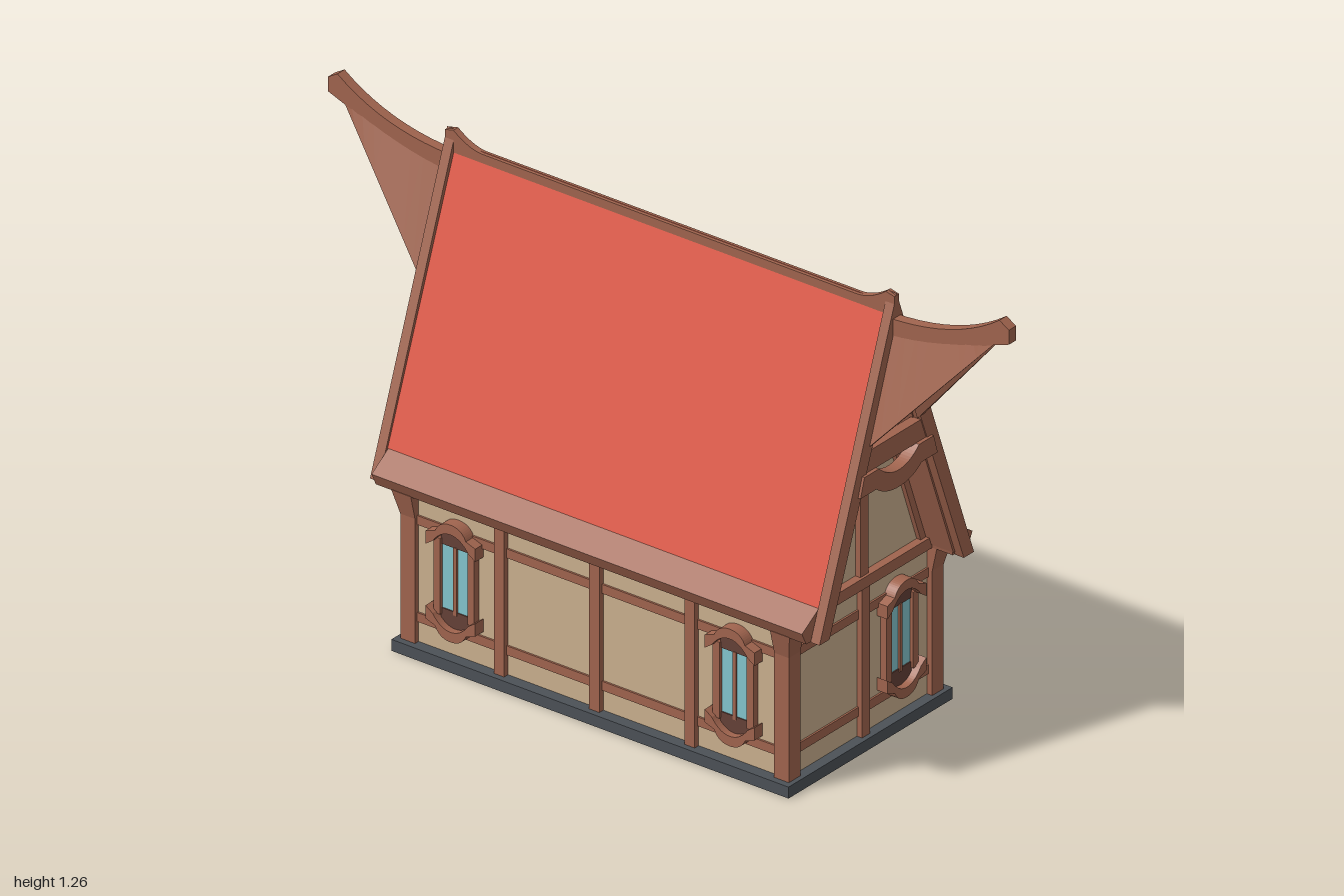
import * as THREE from 'three';

const mat = (name, color) => Object.assign(new THREE.MeshStandardMaterial({ color }), { name });

export function createModel() {
  const wood = mat('wood', 0xa0644e), darkWood = mat('dark wood', 0x654138);
  const plaster = mat('plaster', 0xcbb08e), tiles = mat('roof red', 0xdc5440);
  const glass = mat('window glass', 0x84c6ce), stone = mat('slate', 0x4c5157);
  const pale = mat('pale stone', 0xcccccc);

  const root = new THREE.Group();
  root.name = 'house';
  const house = new THREE.Group();
  house.name = 'body';
  house.position.z = 0.023;
  root.add(house);

  const add = (parent, name, geo, material) => {
    const m = new THREE.Mesh(geo, material);
    m.name = name;
    parent.add(m);
    return m;
  };
  // box given by its min and max on each axis
  const box = (parent, name, x0, x1, y0, y1, z0, z1, material) => {
    const m = add(parent, name, new THREE.BoxGeometry(x1 - x0, y1 - y0, z1 - z0), material);
    m.position.set((x0 + x1) / 2, (y0 + y1) / 2, (z0 + z1) / 2);
  };
  const poly = pts => new THREE.Shape(pts.map(p => new THREE.Vector2(...p)));
  const extrude = (shape, depth) =>
    new THREE.ExtrudeGeometry(shape, { depth, bevelEnabled: false, curveSegments: 10 });
  // shape (drawn in -z, y) swept along x from x0 to x1
  const sweepShape = (parent, name, shape, x0, x1, material) =>
    add(parent, name, extrude(shape, x1 - x0).rotateY(Math.PI / 2).translate(x0, 0, 0), material);
  // the same for a list of (z, y) points
  const sweepX = (parent, name, pts, x0, x1, material) =>
    sweepShape(parent, name, poly(pts.map(([z, y]) => [-z, y])), x0, x1, material);

  // Foundation and doorstep, with pale unfinished faces
  box(house, 'foundation', -0.583, 0.583, 0, 0.03, -0.308, 0.308,
    [stone, stone, stone, pale, stone, stone]);
  box(house, 'doorstep', -0.5, -0.33, 0.001, 0.03, -0.368, -0.3,
    [pale, stone, stone, stone, stone, stone]);

  // Walls and gable
  const WX = 0.555, WZ = 0.277;
  box(house, 'walls', -WX, WX, 0.03, 0.43, -WZ, WZ, plaster);
  sweepX(house, 'gableWall', [[-0.25, 0.42], [0.25, 0.42], [0, 1.125]], -0.55, 0.55, plaster);

  // Corner posts with flared capitals
  for (const sx of [-1, 1]) for (const sz of [-1, 1]) {
    const cx = sx * 0.549, cz = sz * 0.269;
    box(house, 'cornerPost', cx - 0.0215, cx + 0.0215, 0.03, 0.42, cz - 0.0215, cz + 0.0215, wood);
    const geo = new THREE.BoxGeometry(0.043, 0.065, 0.043);
    const p = geo.attributes.position;
    for (let i = 0; i < p.count; i++) if (p.getY(i) > 0) {
      if (p.getX(i) * sx > 0) p.setX(i, p.getX(i) + sx * 0.014);
      if (p.getZ(i) * sz > 0) p.setZ(i, p.getZ(i) + sz * 0.016);
    }
    geo.computeVertexNormals();
    add(house, 'postCapital', geo, wood).position.set(cx, 0.39, cz);
  }

  // Wall timbers
  for (const s of [-1, 1]) {
    for (const x of [-0.28, 0, 0.28])
      box(house, 'wallPost', x - 0.015, x + 0.015, 0.03, 0.43, s * 0.283 - 0.009, s * 0.283 + 0.009, wood);
    box(house, 'sidePost', s * 0.561 - 0.009, s * 0.561 + 0.009, 0.03, 0.43, -0.015, 0.015, wood);
  }
  const rail = 0.005;
  for (const [y0, y1] of [[0.084, 0.108], [0.339, 0.363]])
    box(house, 'rail', -WX - rail, WX + rail, y0, y1, -WZ - rail, WZ + rail, wood);

  // Arched head used by windows and door: a band rising to its middle
  const archBand = hw => {
    const s = poly([[-hw, 0], [-hw, 0.034], [-hw * 0.62, 0.044]]);
    s.quadraticCurveTo(-hw * 0.45, 0.073, 0, 0.073);
    s.quadraticCurveTo(hw * 0.45, 0.073, hw * 0.62, 0.044);
    s.lineTo(hw, 0.034);
    s.lineTo(hw, 0);
    s.lineTo(hw * 0.72, 0.014);
    s.quadraticCurveTo(hw * 0.4, 0.047, 0, 0.047);
    s.quadraticCurveTo(-hw * 0.4, 0.047, -hw * 0.72, 0.014);
    return s;
  };

  // Windows, built facing +z about their centre
  const makeWindow = (x, z, turn) => {
    const w = new THREE.Group();
    w.name = 'window';
    box(w, 'pane', -0.042, 0.042, -0.092, 0.086, 0.002, 0.009, glass);
    box(w, 'mullion', -0.005, 0.005, -0.092, 0.086, 0.002, 0.014, wood);
    for (const s of [-1, 1]) {
      box(w, 'frameSide', s * 0.05 - 0.01, s * 0.05 + 0.01, -0.1, 0.1, 0, 0.018, wood);
      box(w, 'headPanel', -0.042, 0.042, s * 0.107 - 0.023, s * 0.107 + 0.023, 0, 0.012, darkWood);
      const band = add(w, s > 0 ? 'lintel' : 'sill', extrude(archBand(0.073), 0.031), wood);
      band.position.y = s * 0.081;
      if (s < 0) band.rotation.z = Math.PI;
    }
    w.position.set(x, 0.234, z);
    w.rotation.y = turn;
    house.add(w);
  };
  makeWindow(-0.41, WZ, 0);
  makeWindow(0.41, WZ, 0);
  makeWindow(WX, -0.133, Math.PI / 2);
  makeWindow(-WX, -0.133, -Math.PI / 2);

  // Door on the back wall
  const door = new THREE.Group();
  door.name = 'door';
  door.position.set(-0.41, 0, -WZ);
  door.rotation.y = Math.PI;
  house.add(door);
  box(door, 'doorLeaf', -0.065, 0.065, 0.03, 0.3, 0, 0.012, wood);
  const fan = poly([[-0.065, 0.3], [0.065, 0.3], [0.065, 0.325]]);
  fan.quadraticCurveTo(0.04, 0.364, 0, 0.364);
  fan.quadraticCurveTo(-0.04, 0.364, -0.065, 0.325);
  add(door, 'fanlight', extrude(fan, 0.009), glass);
  for (const s of [-1, 1])
    box(door, 'doorJamb', s * 0.072 - 0.012, s * 0.072 + 0.012, 0.03, 0.33, 0, 0.02, wood);
  add(door, 'doorArch', extrude(archBand(0.092), 0.031), wood).position.y = 0.317;
  box(door, 'transom', -0.065, 0.065, 0.292, 0.302, 0, 0.018, wood);
  add(door, 'roundPane', new THREE.CircleGeometry(0.03, 20), glass).position.set(0, 0.235, 0.014);
  add(door, 'roundPaneRing', new THREE.TorusGeometry(0.032, 0.004, 6, 20), darkWood).position.set(0, 0.235, 0.013);
  add(door, 'doorKnob', new THREE.SphereGeometry(0.009, 10, 8), darkWood).position.set(0.045, 0.165, 0.019);

  // Roof: red covering over timber soffit, eaves and gable boards on each slope
  for (const s of [-1, 1]) {
    const side = pts => pts.map(([z, y]) => [z * s, y]);
    sweepX(house, 'roofCovering', side([[0, 1.19], [0.257, 0.494], [0.249, 0.494], [0, 1.17]]), -0.637, 0.637, tiles);
    sweepX(house, 'roofSoffit', side([[0, 1.17], [0.249, 0.494], [0.262, 0.43], [0.242, 0.43], [0, 1.1]]), -0.637, 0.637, wood);
    sweepX(house, 'eave', side([[0.252, 0.497], [0.32, 0.453], [0.304, 0.42], [0.246, 0.42], [0.235, 0.47]]), -0.632, 0.632, wood);
    for (const e of [-1, 1]) {
      const xs = (a, b) => e > 0 ? [a, b] : [-b, -a];
      sweepX(house, 'gableBoard', side([[0, 1.223], [0.29, 0.42], [0.252, 0.42], [0, 1.105]]), ...xs(0.634, 0.66), wood);
      sweepX(house, 'gableRafter', side([[0, 1.12], [0.25, 0.42], [0.226, 0.42], [0, 1.055]]), ...xs(0.54, 0.562), wood);
    }
  }

  // Ridge beam sweeping up at both ends
  const ridge = poly([[-0.66, 1.14], [0.66, 1.14], [0.66, 1.218], [0.635, 1.224]]);
  ridge.quadraticCurveTo(0.59, 1.19, 0.55, 1.189);
  ridge.lineTo(-0.55, 1.189);
  ridge.quadraticCurveTo(-0.59, 1.19, -0.635, 1.224);
  ridge.lineTo(-0.66, 1.218);
  add(house, 'ridgeBeam', extrude(ridge, 0.018).translate(0, 0, -0.009), wood);

  // Hood shell: a gabled section tapering toward the horn tip
  const hoodGeometry = () => {
    const rings = [], N = 8, pos = [];
    for (let i = 0; i <= N; i++) {
      const u = i / N, x = 0.65 + 0.3 * u;
      const top = 1.155 + 0.02 * u + 0.06 * u * u, base = 0.852 + 0.335 * u;
      const b = 0.105 - 0.093 * u, inner = b * 0.86, drop = 0.045 - 0.025 * u;
      rings.push([[-b, base], [0, top], [b, base], [inner, base], [0, top - drop], [-inner, base]]
        .map(([z, y]) => [x, y, z]));
    }
    for (let i = 0; i < N; i++) for (let j = 0; j < 6; j++) {
      const k = (j + 1) % 6, A = rings[i], B = rings[i + 1];
      pos.push(...A[j], ...A[k], ...B[k], ...A[j], ...B[k], ...B[j]);
    }
    const g = new THREE.BufferGeometry();
    g.setAttribute('position', new THREE.Float32BufferAttribute(pos, 3));
    g.computeVertexNormals();
    return g;
  };
  const horn = poly([[0.64, 1.11], [0.64, 1.16]]);
  horn.quadraticCurveTo(0.84, 1.165, 0.972, 1.262);
  horn.lineTo(1, 1.245);
  horn.lineTo(1, 1.207);
  horn.lineTo(0.945, 1.187);
  horn.quadraticCurveTo(0.82, 1.13, 0.64, 1.11);

  // Curved collar below the cross beam
  const collar = poly([[-0.145, 0.746], [-0.085, 0.746]]);
  collar.quadraticCurveTo(-0.05, 0.717, 0, 0.717);
  collar.quadraticCurveTo(0.05, 0.717, 0.085, 0.746);
  collar.lineTo(0.145, 0.746);
  collar.lineTo(0.13, 0.796);
  collar.lineTo(0.075, 0.796);
  collar.quadraticCurveTo(0.04, 0.762, 0, 0.762);
  collar.quadraticCurveTo(-0.04, 0.762, -0.075, 0.796);
  collar.lineTo(-0.13, 0.796);

  // Gable ends: timbers, collar and horned hood, one end turned to make the other
  for (const turn of [0, Math.PI]) {
    const end = new THREE.Group();
    end.name = 'gableEnd';
    end.rotation.y = turn;
    house.add(end);
    box(end, 'gablePost', 0.54, 0.565, 0.42, 1.07, -0.015, 0.015, wood);
    box(end, 'gableBeam', 0.54, 0.572, 0.42, 0.45, -0.25, 0.25, wood);
    sweepX(end, 'crossBeam', [[-0.14, 0.795], [0.14, 0.795], [0.12, 0.85], [-0.12, 0.85]], 0.63, 0.657, wood);
    sweepShape(end, 'curvedCollar', collar, 0.635, 0.667, wood);
    add(end, 'hood', hoodGeometry(), wood);
    add(end, 'horn', extrude(horn, 0.027).translate(0, 0, -0.0135), wood);
  }
  return root;
}
